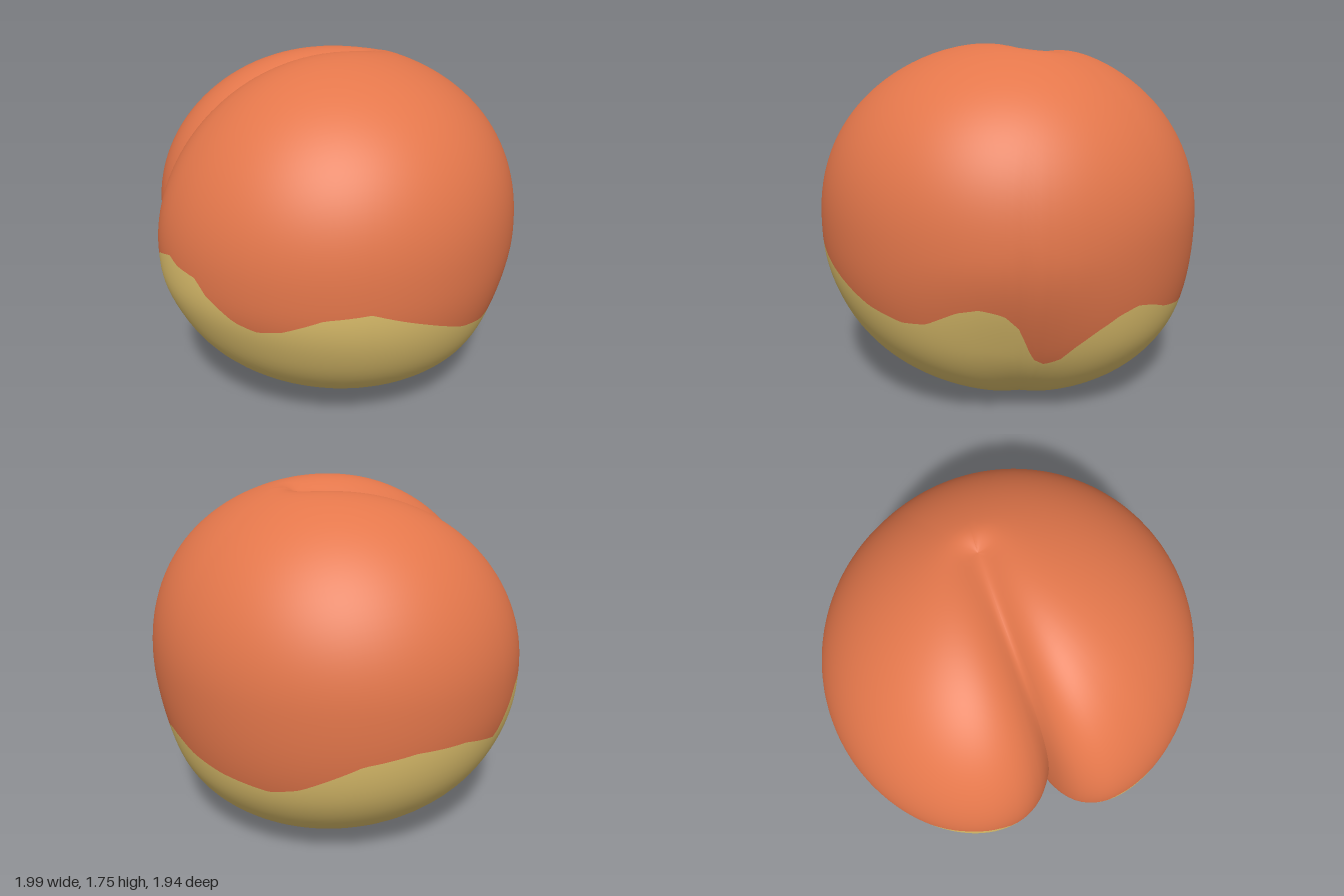
import * as THREE from 'three';

const COLS = 200, TOP_ROWS = 36, LOW_ROWS = 28, ROWS = TOP_ROWS + LOW_ROWS;
const SEAM = -0.5; // azimuth of the groove, measured from +z towards +x
const { lerp, clamp, smoothstep, euclideanModulo } = THREE.MathUtils;

// Height of the colour border as [azimuth, y] pairs, once round from the groove
const BORDER = [
  [-0.5, 0.68], [-0.37, 0.69], [-0.33, 0.77], [-0.23, 0.8], [-0.17, 0.88], [0, 0.93], [0.06, 0.9],
  [0.2, 0.88], [0.26, 0.81], [0.41, 0.71], [0.52, 0.68], [0.64, 0.7], [0.84, 0.78], [1.05, 0.8],
  [1.32, 0.7], [1.57, 0.6], [1.77, 0.555], [1.9, 0.565], [2.06, 0.64], [2.17, 0.66], [2.28, 0.63],
  [2.35, 0.56], [2.43, 0.38], [2.5, 0.345], [2.58, 0.37], [2.65, 0.44], [2.74, 0.51], [2.86, 0.58],
  [2.97, 0.61], [3.08, 0.59], [3.2, 0.55], [3.4, 0.51], [3.68, 0.475], [3.83, 0.51], [4.13, 0.65],
  [4.38, 0.69], [4.65, 0.68], [4.9, 0.62], [5.08, 0.83], [5.27, 0.89], [5.44, 0.87], [5.52, 0.79],
  [5.64, 0.77], [5.69, 0.69], [5.79, 0.68],
];

function borderHeight(a) {
  let i = 1;
  while (i < BORDER.length - 1 && BORDER[i][0] < a) i++;
  const [a0, y0] = BORDER[i - 1], [a1, y1] = BORDER[i];
  return lerp(y0, y1, clamp((a - a0) / (a1 - a0), 0, 1));
}

// Rounded body whose two poles lean back, with a groove along the seam meridian
function surfacePoint(u, theta) {
  const a = SEAM + u, s = Math.sin(theta), c = Math.cos(theta);
  const lean = Math.abs(c) ** 3;
  const p = new THREE.Vector3(
    s * Math.sin(a) + lean * (c > 0 ? 0.05 : 0.33), c,
    s * Math.cos(a) + lean * (c > 0 ? -0.26 : -0.38));

  // Fuller underside and right shoulder, slightly pointed towards the front of the top
  const h = Math.hypot(p.x, p.z);
  const power = c > 0 ? 2 + 0.22 * Math.max(0, p.x) - 0.06 * p.z : 2.35;
  p.divideScalar((h ** power + Math.abs(p.y) ** power) ** (1 / power));
  const under = smoothstep(-p.y, 0, 0.5);

  // Groove: steep between the lobes, closing into small soft pits at the poles
  const soft = 0.08 * (1 - s) ** 2;
  const away = Math.hypot(Math.min(u, 2 * Math.PI - u) * s, soft) - soft;
  const width = (0.185 - 0.035 * Math.cos(u / 2)) * (0.38 + 0.62 * s);
  const groove = (0.06 + 0.24 * s) * Math.exp(-away / width);

  // Shallow flat low on the back right
  const flat = 0.065 * under * s * Math.exp(-(((u - 2.86) / 0.45) ** 2));
  p.multiplyScalar(0.997 - groove - flat);

  // The underside sits lower at the back than at the front
  const tilt = 0.08 * p.z * under;
  return new THREE.Vector3(p.x, 0.885 + p.y * (c > 0 ? 0.905 : 0.88) + tilt, p.z * 0.98);
}

// Polar angle at which a meridian meets the colour border
function borderAngle(u) {
  let lo = 0.9, hi = 2.7;
  for (let k = 0; k < 30; k++) {
    const mid = (lo + hi) / 2;
    const p = surfacePoint(u, mid);
    const a = SEAM + euclideanModulo(Math.atan2(p.x, p.z) - SEAM, Math.PI * 2);
    if (p.y > borderHeight(a)) lo = mid; else hi = mid;
  }
  return lo;
}

export function createModel() {
  const blush = new THREE.MeshStandardMaterial({ color: 0xe4774b });
  blush.name = 'orange skin';
  const pale = new THREE.MeshStandardMaterial({ color: 0xdfc16d });
  pale.name = 'yellow skin';

  // Meridians from pole to pole; the first and last stay separate to keep the groove sharp
  const points = [];
  for (let j = 0; j <= COLS; j++) {
    const u = (j / COLS) * Math.PI * 2;
    const mid = borderAngle(u);
    for (let i = 0; i <= ROWS; i++) {
      const theta = i <= TOP_ROWS
        ? mid * i / TOP_ROWS
        : mid + (Math.PI - mid) * (i - TOP_ROWS) / LOW_ROWS;
      points.push(surfacePoint(u, theta));
    }
  }

  const index = [];
  const addBand = (from, to) => {
    for (let j = 0; j < COLS; j++) {
      for (let i = from; i < to; i++) {
        const tl = j * (ROWS + 1) + i, tr = tl + ROWS + 1;
        if (i > 0) index.push(tl, tr + 1, tr);
        if (i < ROWS - 1) index.push(tl, tl + 1, tr + 1);
      }
    }
  };
  addBand(0, TOP_ROWS);
  const split = index.length;
  addBand(TOP_ROWS, ROWS);

  const geometry = new THREE.BufferGeometry().setFromPoints(points);
  geometry.setIndex(index);
  geometry.addGroup(0, split, 0);
  geometry.addGroup(split, index.length - split, 1);
  geometry.computeVertexNormals();

  // Rest on the ground
  geometry.computeBoundingBox();
  geometry.translate(0, -geometry.boundingBox.min.y, 0);

  const fruit = new THREE.Mesh(geometry, [blush, pale]);
  fruit.name = 'fruit';
  const group = new THREE.Group();
  group.name = 'stoneFruit';
  group.add(fruit);
  return group;
}
